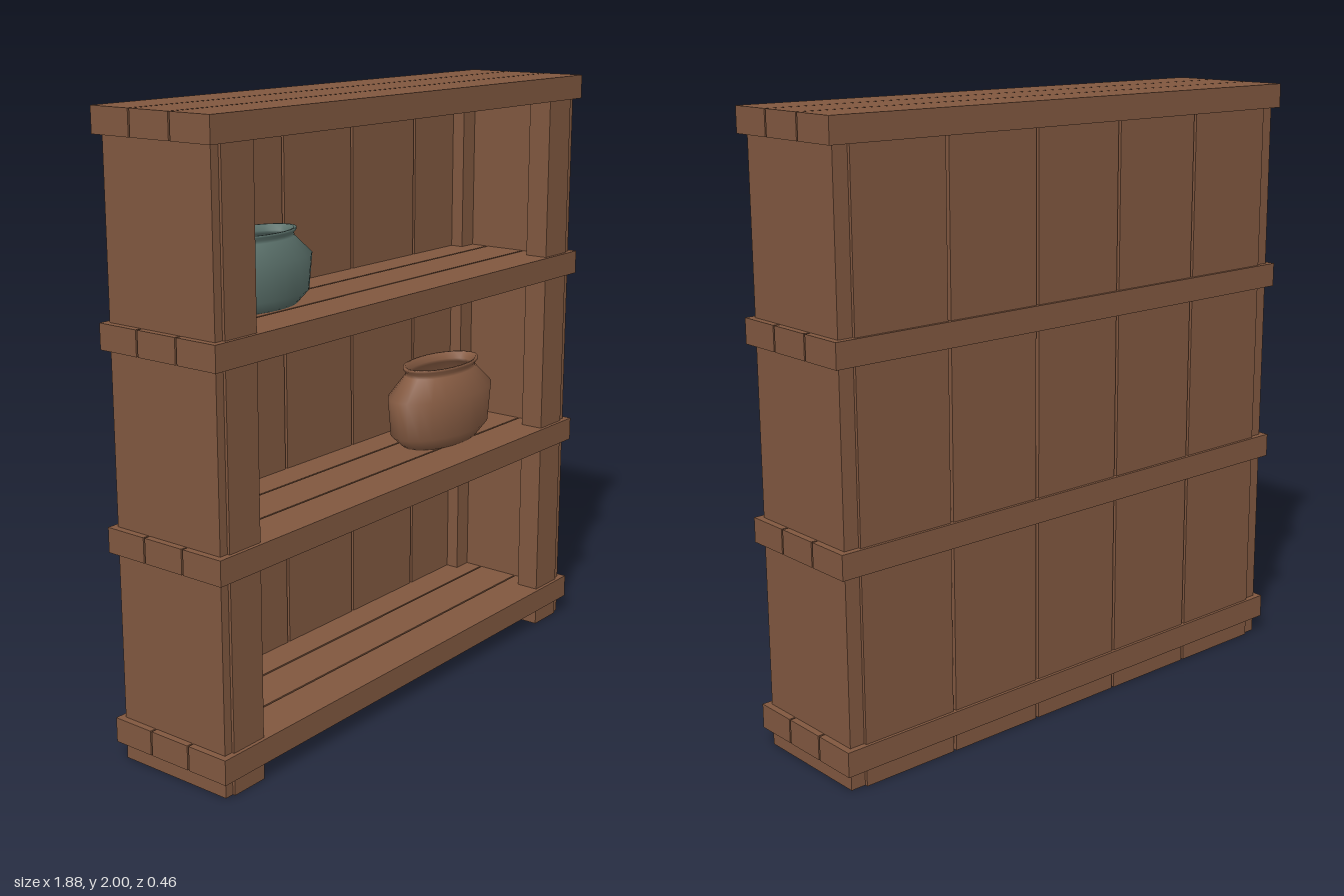
import * as THREE from 'three';

const wood = new THREE.MeshStandardMaterial({ color: 0x80573f });
wood.name = 'brown wood';
const clay = new THREE.MeshStandardMaterial({ color: 0x875c43 });
clay.name = 'brown clay';
const glaze = new THREE.MeshStandardMaterial({ color: 0x5b716b });
glaze.name = 'teal glaze';

// Box given by its lower and upper limits on each axis
function board(name, [x0, x1], [y0, y1], [z0, z1]) {
  const mesh = new THREE.Mesh(new THREE.BoxGeometry(x1 - x0, y1 - y0, z1 - z0), wood);
  mesh.position.set((x0 + x1) / 2, (y0 + y1) / 2, (z0 + z1) / 2);
  mesh.name = name;
  return mesh;
}

// Same board on the +x and -x side
function pair(parent, name, [x0, x1], y, z) {
  parent.add(board(name + 'Left', [x0, x1], y, z), board(name + 'Right', [-x1, -x0], y, z));
}

// Hollow pot, flattened front to back; profile runs from outer base over the lip to the inner floor
function pot(name, material, radius, height, depth) {
  const profile = [
    [0, 0], [0.72, 0], [0.94, 0.16], [1, 0.64], [0.68, 0.89], [0.67, 0.93],
    [0.72, 0.97], [0.72, 1], [0.67, 1], [0.61, 0.92], [0.62, 0.88],
    [0.92, 0.62], [0.87, 0.2], [0.68, 0.06], [0, 0.06],
  ].map(([r, y]) => new THREE.Vector2(r, y));
  const geometry = new THREE.LatheGeometry(profile, 24);
  geometry.scale(radius, height, depth);
  const mesh = new THREE.Mesh(geometry, material);
  mesh.name = name;
  return mesh;
}

export function createModel() {
  const model = new THREE.Group();
  model.name = 'bookcase';
  const top = 1.96;

  // Four shelves of three planks each
  const shelves = new THREE.Group();
  shelves.name = 'shelves';
  for (const y of [0.057, 0.677, 1.3, 1.92]) {
    for (const z of [-0.154, 0, 0.154]) {
      shelves.add(board('shelfPlank', [-0.94, 0.94], [y, y + 0.08], [z - 0.074, z + 0.074]));
    }
  }
  model.add(shelves);

  // Back made of five upright planks with narrow gaps
  const back = new THREE.Group();
  back.name = 'back';
  for (let i = -2; i <= 2; i++) {
    const x = i * 0.349;
    back.add(board('backPlank', [x - 0.169, x + 0.169], [0, top], [-0.218, -0.188]));
  }
  model.add(back);

  // Thick side panels, front stiles and rear corner posts
  const frame = new THREE.Group();
  frame.name = 'frame';
  pair(frame, 'sidePanel', [0.825, 0.918], [0, top], [-0.208, 0.207]);
  pair(frame, 'frontStile', [0.757, 0.888], [0, top], [0.135, 0.216]);
  pair(frame, 'rearPost', [0.757, 0.888], [0, top], [-0.189, -0.142]);
  model.add(frame);

  // Pots standing on the shelves
  const tealPot = pot('tealPot', glaze, 0.218, 0.232, 0.12);
  tealPot.position.set(-0.49, 1.38, -0.022);
  const brownPot = pot('brownPot', clay, 0.251, 0.28, 0.132);
  brownPot.position.set(0.434, 0.757, 0);
  model.add(tealPot, brownPot);

  return model;
}
